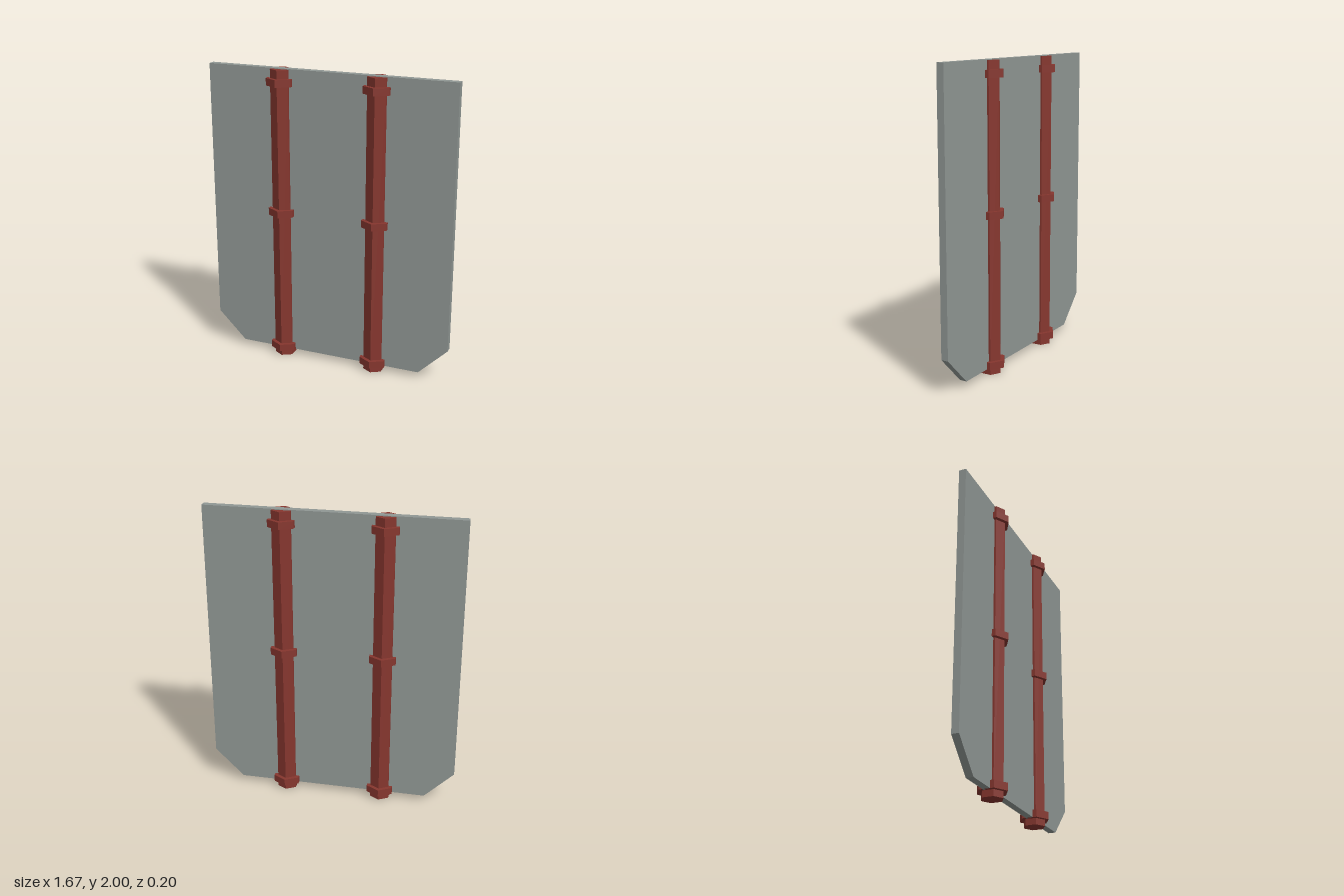
import * as THREE from 'three';

export function createModel() {
  const model = new THREE.Group();
  model.name = 'panelWithPosts';
  const grey = new THREE.MeshStandardMaterial({ color: 0x909794 });
  grey.name = 'panelGrey';
  const red = new THREE.MeshStandardMaterial({ color: 0x86362e, flatShading: true });
  red.name = 'rustRed';

  // Flat panel with both lower corners cut off
  const thickness = 0.048;
  const outline = new THREE.Shape([
    [-0.835, 2], [-0.835, 0.235], [-0.64, 0.042],
    [0.64, 0.042], [0.835, 0.235], [0.835, 2],
  ].map(([x, y]) => new THREE.Vector2(x, y)));
  const panelGeometry = new THREE.ExtrudeGeometry(outline, { depth: thickness, bevelEnabled: false });
  panelGeometry.translate(0, 0, -thickness / 2);
  const panel = new THREE.Mesh(panelGeometry, grey);
  panel.name = 'panel';
  model.add(panel);

  // Upright hexagonal bar with a corner pointing forward
  const hexBar = (name, radius, bottom, top) => {
    const bar = new THREE.Mesh(new THREE.CylinderGeometry(radius, radius, top - bottom, 6), red);
    bar.name = name;
    bar.position.y = (bottom + top) / 2;
    return bar;
  };

  // Two posts running through the panel, each with three collars
  for (const [side, x] of [['right', -0.334], ['left', 0.321]]) {
    const post = new THREE.Group();
    post.name = side + 'Post';
    post.position.x = x;
    post.add(hexBar('postShaft', 0.072, 0, 1.995));
    for (const y of [0.066, 1.045, 1.914]) post.add(hexBar('postCollar', 0.099, y - 0.024, y + 0.024));
    model.add(post);
  }

  return model;
}
